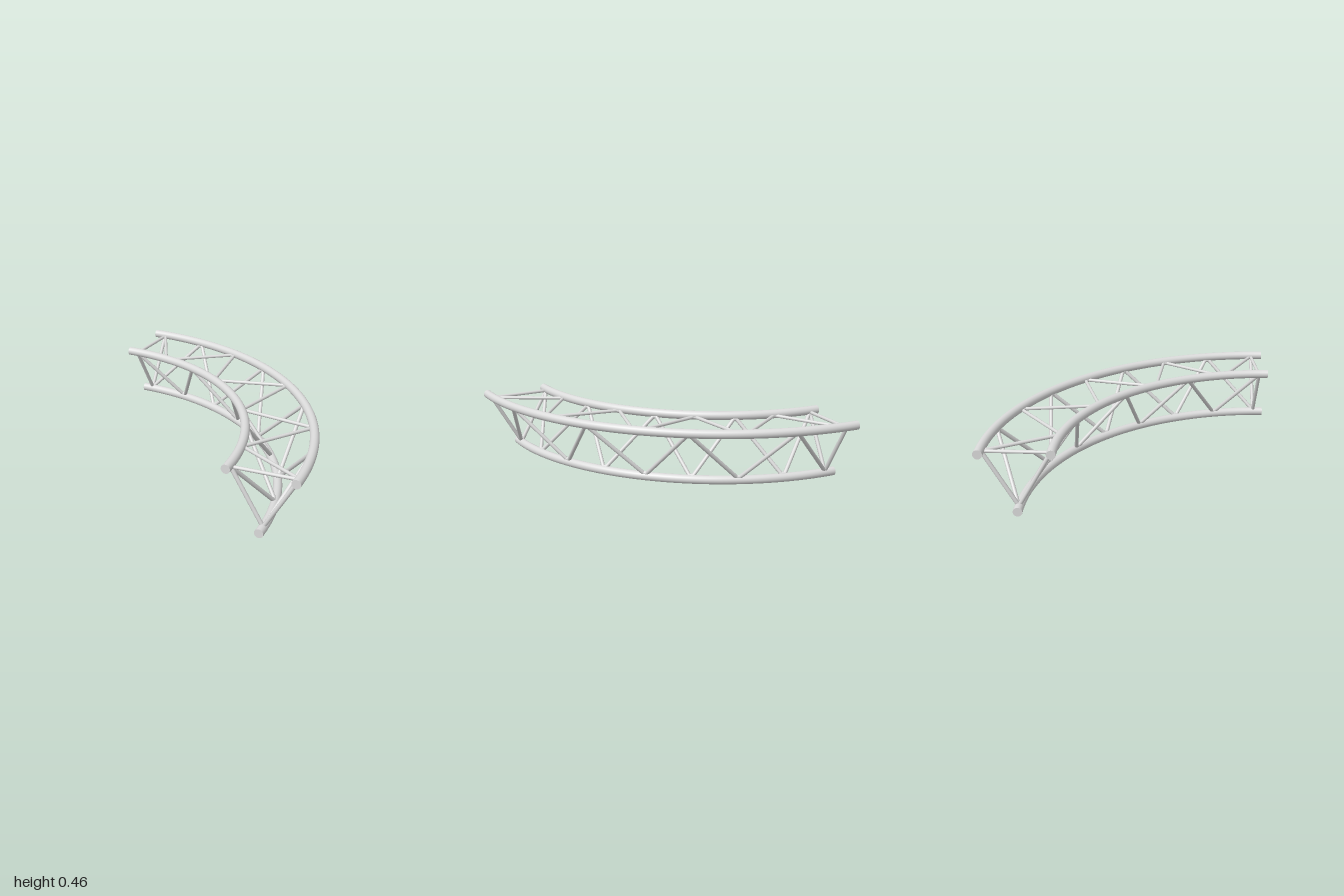
import * as THREE from 'three';

export function createModel() {
  const group = new THREE.Group();
  group.name = 'curvedTruss';
  const metal = new THREE.MeshStandardMaterial({ color: 0xdadada });
  metal.name = 'aluminium';

  const add = (geometry, name, parent = group) => {
    const mesh = new THREE.Mesh(geometry, metal);
    mesh.name = name;
    parent.add(mesh);
    return mesh;
  };

  // Main chords: quarter-circle tubes around the corner (-1, 1), with end caps
  const R = 0.031;
  const chord = (name, radius, y) => {
    const part = new THREE.Group();
    part.name = name;
    part.position.set(-1, y, 1);
    add(new THREE.TorusGeometry(radius, R, 20, 72, Math.PI / 2).rotateX(-Math.PI / 2), name + 'Tube', part);
    add(new THREE.CircleGeometry(R, 20), name + 'FrontCap', part).position.set(radius, 0, 0);
    const side = add(new THREE.CircleGeometry(R, 20).rotateY(-Math.PI / 2), name + 'SideCap', part);
    side.position.set(0, 0, -radius);
    group.add(part);
  };
  chord('innerChord', 1.515, 0.428);
  chord('outerChord', 1.969, 0.428);
  chord('bottomChord', 1.74, 0.031);

  // Point on a ring; step 0 is the side end and step 8 the front end
  const node = ([radius, y], step) => {
    const a = THREE.MathUtils.degToRad(2.4 + step * 10.65);
    return new THREE.Vector3(-1 + radius * Math.sin(a), y, 1 - radius * Math.cos(a));
  };

  const rod = (a, b, r, name, parent) => {
    const d = b.clone().sub(a);
    const mesh = add(new THREE.CylinderGeometry(r, r, d.length(), 12, 1), name, parent);
    mesh.position.copy(a).add(b).multiplyScalar(0.5);
    mesh.quaternion.setFromUnitVectors(new THREE.Vector3(0, 1, 0), d.normalize());
  };

  // Zigzag lacing between two rings, with a short bend at each node
  const lacing = (name, even, odd, r) => {
    const part = new THREE.Group();
    part.name = name;
    group.add(part);
    const bend = 0.04;
    const path = [node(odd, 0), node(even, 0)];
    for (let k = 0; k <= 8; k++) {
      const ring = k % 2 ? odd : even;
      if (k > 0) path.push(node(ring, k - bend));
      if (k < 8) path.push(node(ring, k + bend));
    }
    path.push(node(even, 8), node(odd, 8));
    path.forEach((p, i) => {
      add(new THREE.SphereGeometry(r, 12, 8), 'bend', part).position.copy(p);
      if (i > 0) rod(path[i - 1], p, r, 'brace', part);
    });
  };

  lacing('topLacing', [1.945, 0.418], [1.535, 0.418], 0.012);
  lacing('innerLacing', [1.53, 0.405], [1.732, 0.055], 0.014);
  lacing('outerLacing', [1.75, 0.055], [1.955, 0.405], 0.014);

  return group;
}
